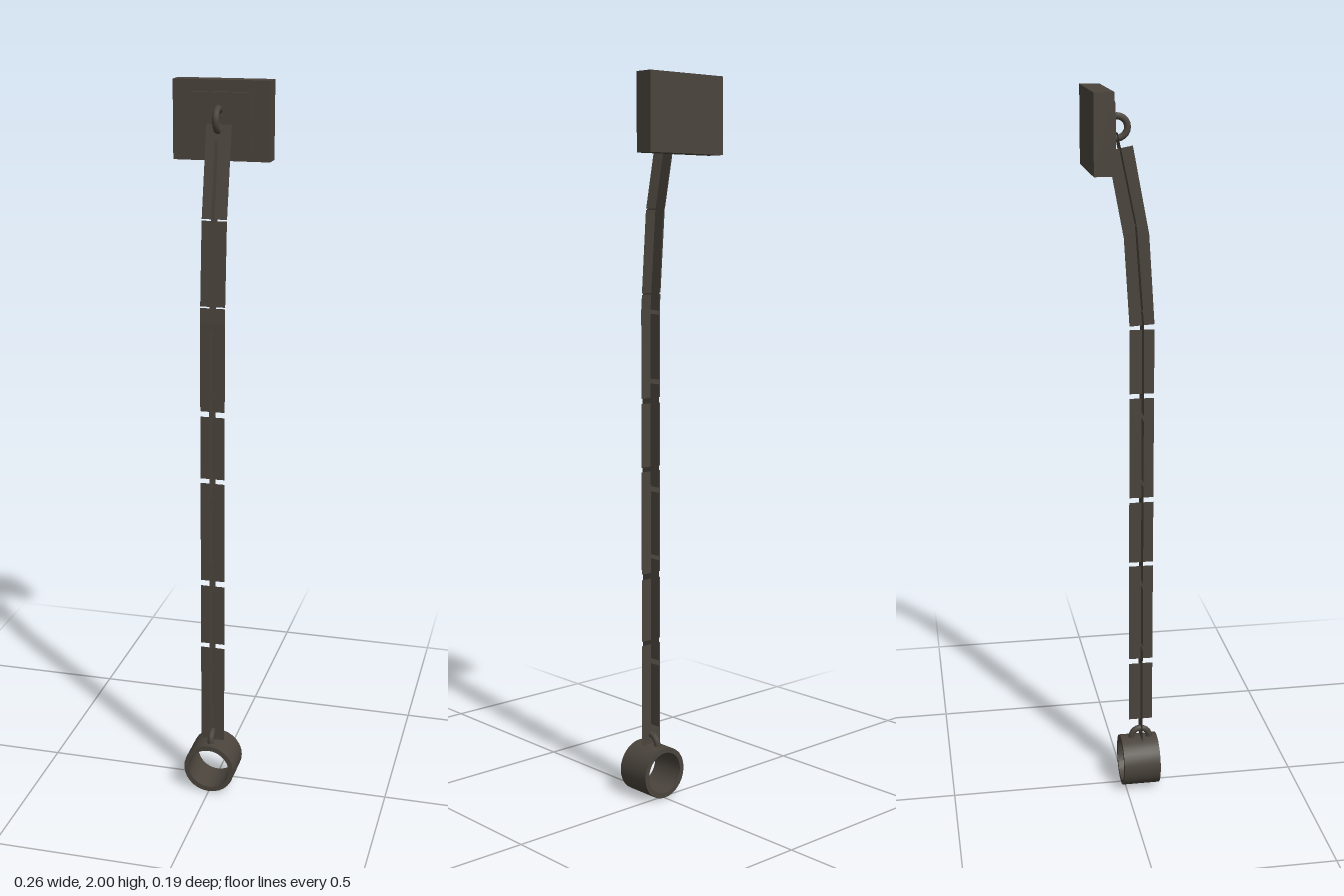
import * as THREE from 'three';
import { toCreasedNormals } from 'three/addons/utils/BufferGeometryUtils.js';

export function createModel() {
  const model = new THREE.Group();
  const iron = new THREE.MeshStandardMaterial({ color: 0x4a443c, side: THREE.DoubleSide });
  iron.name = 'dark iron';

  function add(name, geometry, x, y, z, parent = model) {
    const mesh = new THREE.Mesh(geometry, iron);
    mesh.name = name;
    mesh.position.set(x, y, z);
    parent.add(mesh);
    return mesh;
  }

  // Wall mount: thick back plate, thin raised plate and eyelet
  add('wallPlate', new THREE.BoxGeometry(0.26, 0.206, 0.053), 0, 1.897, -0.0715);
  add('raisedPlate', new THREE.BoxGeometry(0.164, 0.15, 0.011), 0, 1.895, -0.0405);
  const eyelet = new THREE.TorusGeometry(0.028, 0.009, 8, 20).rotateY(Math.PI / 2);
  add('wallEyelet', eyelet, -0.002, 1.902, -0.02);

  // Chain: thin crossed strips, each given as [y0, z0, y1, z1]
  const width = 0.068;
  const hang = 0.048;
  const chain = new THREE.Group();
  chain.name = 'chain';
  model.add(chain);
  function strip(name, [y0, z0, y1, z1], sideways) {
    const geometry = new THREE.PlaneGeometry(width, Math.hypot(y1 - y0, z1 - z0));
    if (sideways) geometry.rotateY(Math.PI / 2);
    const mesh = add(name, geometry, 0, (y0 + y1) / 2, (z0 + z1) / 2, chain);
    mesh.rotation.x = Math.atan2(z1 - z0, y1 - y0);
  }
  const straight = ([y0, y1]) => [y0, hang, y1, hang];

  const frontLinks = [[0.145, 0.437], [0.45, 0.627], [0.643, 0.932], [0.945, 1.122], [1.137, 1.38]].map(straight);
  frontLinks.push([1.38, hang, 1.421, 0.045], [1.425, 0.045, 1.649, 0.028], [1.653, 0.027, 1.89, -0.022]);
  frontLinks.forEach((link) => strip('frontLink', link, false));

  const sideLinks = [[0.203, 0.382], [0.397, 0.685], [0.697, 0.876], [0.89, 1.177], [1.19, 1.368]].map(straight);
  sideLinks.push([1.38, hang, 1.627, 0.032], [1.622, 0.032, 1.848, -0.011]);
  sideLinks.forEach((link) => strip('sideLink', link, true));

  // Shackle: open cuff lying along z, hung from a small eyelet
  const outer = 0.073, inner = 0.059, half = 0.053;
  const profile = [[outer, -half], [outer, half], [inner, half], [inner, -half], [outer, -half]]
    .map(([r, y]) => new THREE.Vector2(r, y));
  const cuff = toCreasedNormals(new THREE.LatheGeometry(profile, 28), 0.7).rotateX(Math.PI / 2);
  add('shackleCuff', cuff, 0, outer, 0.043);
  const cuffRing = new THREE.TorusGeometry(0.026, 0.009, 8, 20).rotateY(Math.PI / 2);
  add('shackleEyelet', cuffRing, 0, 0.147, 0.047);

  return model;
}
